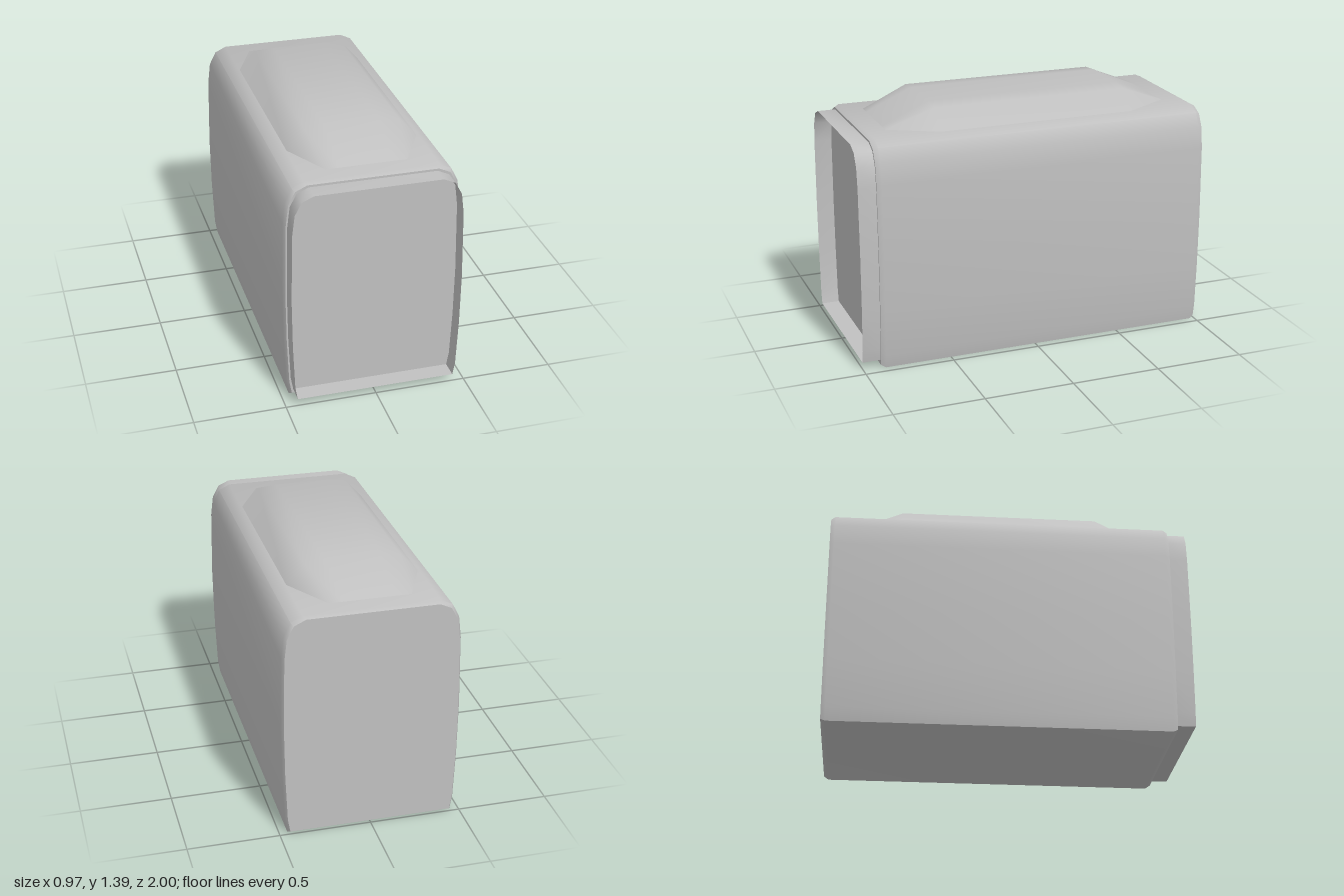
import * as THREE from 'three';
import { toCreasedNormals } from 'three/addons/utils/BufferGeometryUtils.js';

// Skin over sections [[x, y, z], ...] ordered back to front, each counter-clockwise seen from +z
function loft(sections, { closed = true, caps = false, crease = 0.7 } = {}) {
  const n = sections[0].length;
  const index = [];
  for (let i = 0; i < sections.length - 1; i++) {
    for (let j = 0; j < (closed ? n : n - 1); j++) {
      const k = (j + 1) % n;
      const a = i * n + j, b = i * n + k;
      index.push(a, b, b + n, a, b + n, a + n);
    }
  }
  if (caps) {
    const f = (sections.length - 1) * n;
    for (let j = 1; j < n - 1; j++) {
      index.push(f, f + j, f + j + 1);
      index.push(0, j + 1, j);
    }
  }
  const geometry = new THREE.BufferGeometry();
  geometry.setAttribute('position', new THREE.Float32BufferAttribute(sections.flat(2), 3));
  geometry.setIndex(index);
  return toCreasedNormals(geometry, crease);
}

// Mirror the right half of an outline to close it
const mirrored = (half) => [...half, ...half.map(([x, y]) => [-x, y]).reverse()];
const at = (outline, z) => outline.map(([x, y]) => [x, y, z]);

export function createModel() {
  const group = new THREE.Group();
  const grey = new THREE.MeshStandardMaterial({ color: 0xc0c0c0 });
  grey.name = 'light grey';
  grey.side = THREE.DoubleSide;

  const add = (name, geometry) => {
    const mesh = new THREE.Mesh(geometry, grey);
    mesh.name = name;
    group.add(mesh);
  };

  // Housing with bulging sides, rounded shoulders and bevelled ends
  const half = [
    [0.455, 0.003], [0.468, 0.08], [0.479, 0.35], [0.483, 0.65],
    [0.476, 1.05], [0.462, 1.17], [0.425, 1.243], [0.362, 1.273],
  ];
  const outer = mirrored(half);
  const inner = mirrored(half.map(([x, y]) => [x - 0.012, 0.015 + y * 0.98]));
  add('housing', loft(
    [at(inner, -1), at(outer, -0.975), at(outer, 0.875), at(inner, 0.9)],
    { caps: true },
  ));

  // Open thin collar around the recessed front
  const rim = mirrored(half.map(([x, y]) => [x - 0.02, 0.04 + y * 0.951]));
  add('frontCollar', loft([at(rim, 0.885), at(rim, 1)]));

  // Raised top cover with slightly skewed sloping ends
  const arch = [[0.36, 1.27], [0.26, 1.38], [0.15, 1.39], [-0.15, 1.39], [-0.26, 1.38], [-0.36, 1.27]];
  const flatEnd = (right, left, z) => arch.map(([x]) => [
    left + (right - left) * (x + 0.36) / 0.72, 1.272, z,
  ]);
  add('topCover', loft(
    [flatEnd(0.2, -0.31, -0.87), at(arch, -0.6), at(arch, 0.51), flatEnd(0.29, -0.22, 0.775)],
    { closed: false, crease: 1.2 },
  ));

  return group;
}
